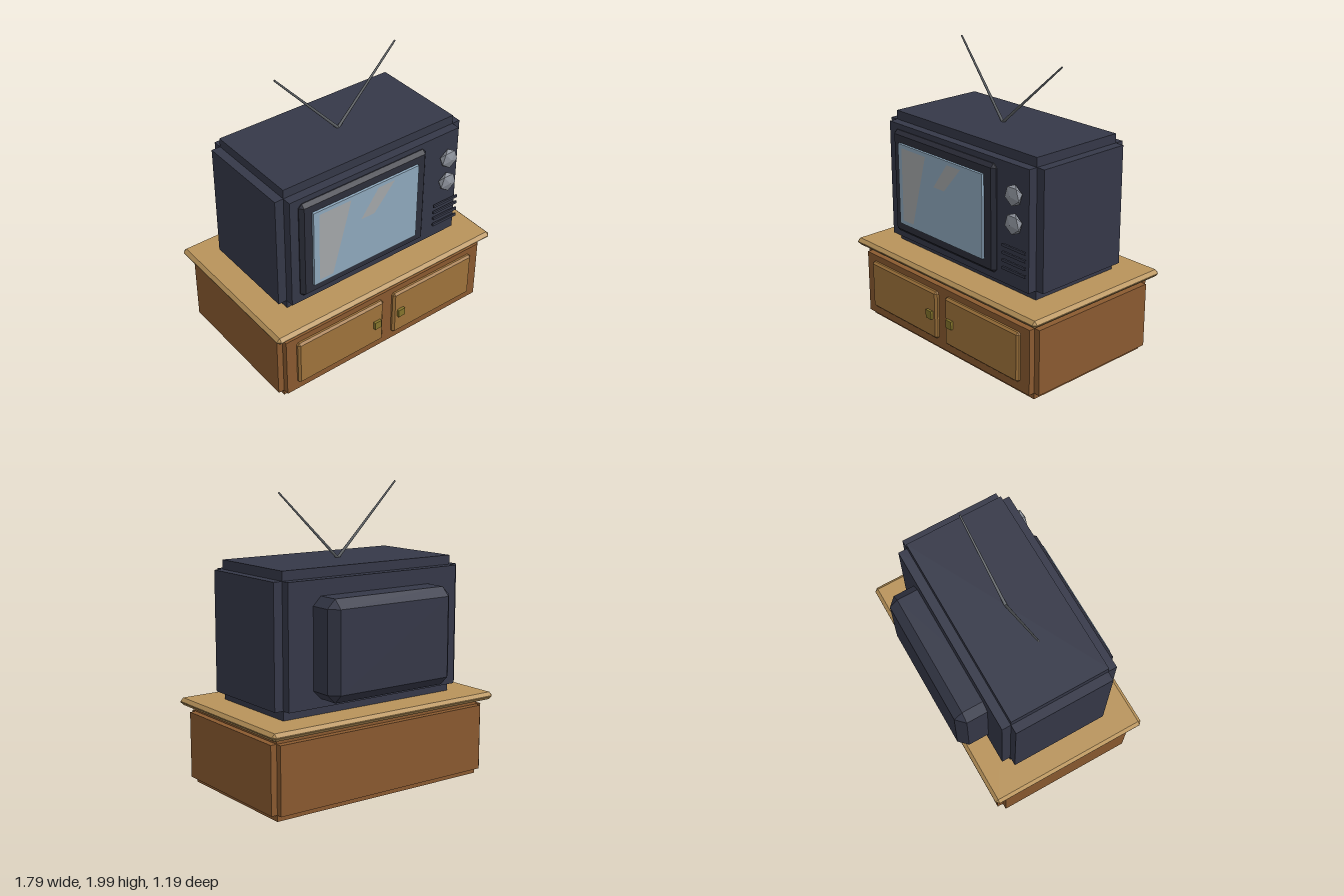
import * as THREE from 'three';
import { ConvexGeometry } from 'three/addons/geometries/ConvexGeometry.js';

const paint = (color, extra = {}) => new THREE.MeshStandardMaterial({ color, ...extra });

export function createModel() {
  const model = new THREE.Group();
  const wood = paint(0x8a5a30), doorWood = paint(0xa0743c), topWood = paint(0xb8935a);
  const brass = paint(0x85752c), casing = paint(0x353848), trim = paint(0x2c2e3a);
  const grey = paint(0x8c919a, { flatShading: true }), metal = paint(0x5c6064);
  const glass = paint(0x8fa9be), glare = paint(0xa5a8aa, { side: THREE.DoubleSide });

  const add = (name, geometry, material, parent = model) => {
    const mesh = new THREE.Mesh(geometry, material);
    mesh.name = name;
    parent.add(mesh);
    return mesh;
  };

  // Plain box between two corners
  const box = (name, a, b, material, parent) => {
    const geo = new THREE.BoxGeometry(b[0] - a[0], b[1] - a[1], b[2] - a[2]);
    geo.translate((a[0] + b[0]) / 2, (a[1] + b[1]) / 2, (a[2] + b[2]) / 2);
    return add(name, geo, material, parent);
  };

  // Box between two corners with every edge cut at 45 degrees
  const chamferBox = (name, a, b, c, material) => {
    const pts = [];
    for (let i = 0; i < 8; i++) {
      const side = [i & 1, (i >> 1) & 1, (i >> 2) & 1];
      for (let flat = 0; flat < 3; flat++) {
        const p = side.map((s, k) => (s ? b[k] : a[k]) + (k === flat ? 0 : s ? -c : c));
        pts.push(new THREE.Vector3(...p));
      }
    }
    return add(name, new ConvexGeometry(pts), material);
  };

  // Box with stepped edges: three crossing boxes, each full length on one axis
  const steppedBox = (name, a, b, s, material) => {
    const group = new THREE.Group();
    group.name = name;
    for (let axis = 0; axis < 3; axis++) {
      const lo = a.map((v, k) => (k === axis ? v : v + s));
      const hi = b.map((v, k) => (k === axis ? v : v - s));
      box(name + 'Block', lo, hi, material, group);
    }
    model.add(group);
  };

  // Cabinet with its top board
  steppedBox('cabinet', [-0.855, 0.005, -0.505], [0.855, 0.535, 0.55], 0.042, wood);
  chamferBox('cabinetTop', [-0.893, 0.533, -0.553], [0.893, 0.583, 0.588], 0.022, topWood);

  // Doors and handles
  for (const s of [-1, 1]) {
    const span = (x0, x1) => [Math.min(s * x0, s * x1), Math.max(s * x0, s * x1)];
    const [d0, d1] = span(0.043, 0.735), [h0, h1] = span(0.075, 0.128);
    chamferBox('door', [d0, 0.11, 0.52], [d1, 0.45, 0.577], 0.014, doorWood);
    box('handle', [h0, 0.25, 0.57], [h1, 0.308, 0.595], brass);
  }

  // Television casing and the housing behind it
  steppedBox('casing', [-0.733, 0.583, -0.388], [0.733, 1.51, 0.425], 0.062, casing);
  chamferBox('backHousing', [-0.487, 0.7, -0.592], [0.487, 1.345, -0.2], 0.058, casing);

  // Screen surround, glass and two glare patches
  chamferBox('screenSurround', [-0.61, 0.69, 0.38], [0.387, 1.41, 0.455], 0.024, trim);
  box('screen', [-0.53, 0.77, 0.43], [0.3, 1.335, 0.472], glass);
  const patches = [
    [[-0.49, 0.8], [-0.385, 0.8], [-0.245, 1.31], [-0.49, 1.31]],
    [[-0.165, 1.125], [-0.06, 1.125], [0.1, 1.31], [-0.03, 1.31]],
  ];
  for (const pts of patches) {
    const shape = new THREE.Shape(pts.map(p => new THREE.Vector2(...p)));
    add('glare', new THREE.ShapeGeometry(shape), glare).position.z = 0.475;
  }

  // Faceted knobs, one corner pointing forward
  for (const y of [1.267, 1.083]) {
    const geo = new THREE.IcosahedronGeometry(0.073, 0);
    const tip = new THREE.Vector3(0, 1, (1 + Math.sqrt(5)) / 2).normalize();
    geo.applyQuaternion(new THREE.Quaternion().setFromUnitVectors(tip, new THREE.Vector3(0, 0, 1)));
    geo.scale(1, 1, 0.45);
    add('knob', geo, grey).position.set(0.568, y, 0.457);
  }

  // Speaker slats
  for (let i = 0; i < 4; i++) {
    const y = 0.918 - i * 0.051;
    box('speakerSlat', [0.465, y - 0.009, 0.447], [0.67, y + 0.009, 0.459], casing);
  }

  // V-shaped aerial
  const foot = new THREE.Vector3(0, 1.505, 0.02);
  for (const end of [[-0.447, 1.995, -0.022], [0.487, 1.953, -0.022]]) {
    const dir = new THREE.Vector3(...end).sub(foot);
    const rod = add('aerialRod', new THREE.CylinderGeometry(0.006, 0.01, dir.length(), 8), metal);
    rod.position.copy(foot).addScaledVector(dir, 0.5);
    rod.quaternion.setFromUnitVectors(new THREE.Vector3(0, 1, 0), dir.normalize());
  }

  return model;
}
